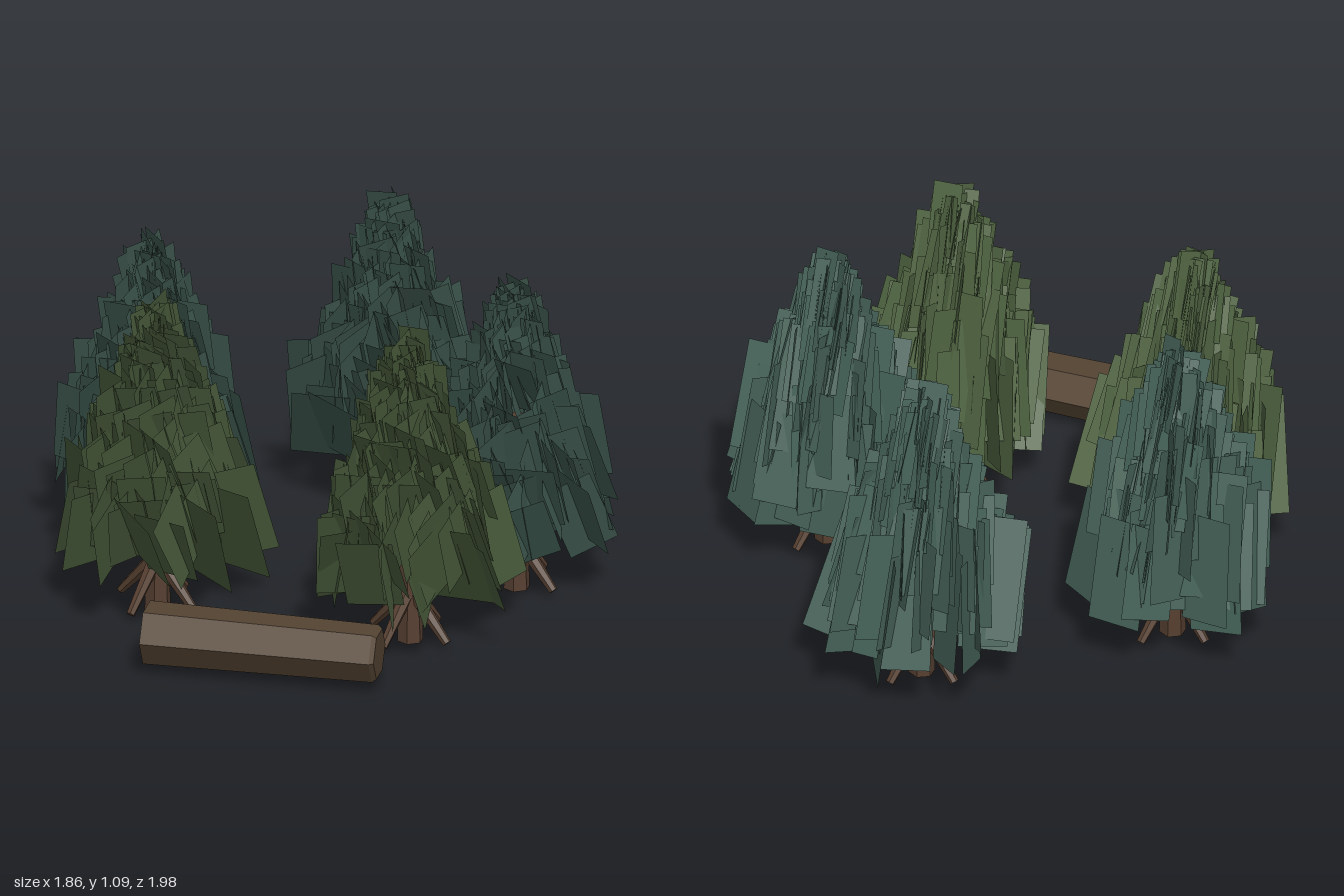
import * as THREE from 'three';
import { mergeGeometries } from 'three/addons/utils/BufferGeometryUtils.js';

const flat = (name, color, side = THREE.FrontSide) => {
  const m = new THREE.MeshStandardMaterial({ color, side, flatShading: true });
  m.name = name;
  return m;
};

// Small seeded generator returning 0..1
function seeded(seed) {
  let s = seed;
  return () => {
    s = (s * 16807) % 2147483647;
    return s / 2147483647;
  };
}

const CARDS = 210;

// Cone-shaped crown made of randomly turned rectangular cards that lean
// towards +z, more so at the front, with their lower ends flared sideways
function crownGeometry(rand) {
  const cards = [];
  const spread = (amount) => (rand() - 0.5) * amount;
  for (let i = 0; i < CARDS; i++) {
    const t = i / (CARDS - 1); // 0 bottom, 1 top
    const low = 1 - t;
    const angle = i * 2.39996 + rand() * 0.4;
    const c = Math.cos(angle), s = Math.sin(angle);
    const radius = THREE.MathUtils.lerp(0.285, 0.025, t) * (0.7 + 0.3 * rand());
    const size = 0.85 + 0.3 * rand();
    const card = new THREE.PlaneGeometry(
      THREE.MathUtils.lerp(0.18, 0.09, t) * size,
      (THREE.MathUtils.lerp(0.37, 0.19, t) - 0.06 * low * Math.max(0, s)) * size
    );
    card.rotateY(rand() * Math.PI * 2);
    card.rotateZ(0.16 * c * low + spread(0.16));
    card.rotateX(0.43 + 0.17 * s * low + spread(0.2));
    card.translate(
      c * radius,
      THREE.MathUtils.lerp(0.32, 0.975, t) - 0.03 * low * s + spread(0.04),
      s * radius
    );
    cards.push(card);
  }
  return mergeGeometries(cards);
}

// Tapered limb between two points
function limb(a, b, ra, rb, material, name) {
  const dir = new THREE.Vector3().subVectors(b, a);
  const mesh = new THREE.Mesh(new THREE.CylinderGeometry(rb, ra, dir.length(), 6), material);
  mesh.position.copy(a).add(b).multiplyScalar(0.5);
  mesh.quaternion.setFromUnitVectors(new THREE.Vector3(0, 1, 0), dir.normalize());
  mesh.name = name;
  return mesh;
}

function makeTree(x, z, foliage, bark, seed) {
  const tree = new THREE.Group();
  const rand = seeded(seed);
  for (let i = 0; i < 20; i++) rand();

  tree.add(limb(new THREE.Vector3(0, 0.005, 0), new THREE.Vector3(0, 0.6, 0), 0.043, 0.025, bark, 'trunk'));

  // Splayed roots
  for (let i = 0; i < 4; i++) {
    const a = (i / 4) * Math.PI * 2 + 0.4;
    const c = Math.cos(a), s = Math.sin(a);
    tree.add(limb(
      new THREE.Vector3(c * 0.145, 0.028, s * 0.145),
      new THREE.Vector3(c * 0.015, 0.17, s * 0.015),
      0.014, 0.024, bark, 'root'
    ));
  }

  const crown = new THREE.Mesh(crownGeometry(rand), foliage);
  crown.name = 'crown';
  tree.add(crown);
  tree.position.set(x, 0, z);
  return tree;
}

export function createModel() {
  const model = new THREE.Group();
  model.name = 'pineGrove';

  const teal = flat('blueGreenNeedles', 0x435f55, THREE.DoubleSide);
  const olive = flat('oliveNeedles', 0x4e6240, THREE.DoubleSide);
  const bark = flat('bark', 0x563f30);
  const logWood = flat('logWood', 0x554433);

  // Three blue-green trees behind, two olive trees in front
  [
    ['backTree', 0.04, -0.61, teal, 11],
    ['rightTree', -0.62, -0.11, teal, 271],
    ['leftTree', 0.59, -0.01, teal, 3571],
    ['frontRightTree', -0.48, 0.41, olive, 48611],
    ['frontLeftTree', 0.36, 0.48, olive, 611953],
  ].forEach(([name, x, z, foliage, seed]) => {
    const tree = makeTree(x, z, foliage, bark, seed);
    tree.name = name;
    model.add(tree);
  });

  // Fallen six-sided log with one bevelled end
  const log = new THREE.Group();
  log.name = 'log';
  const body = new THREE.Mesh(new THREE.CylinderGeometry(0.093, 0.102, 0.745, 6), logWood);
  body.name = 'logBody';
  const end = new THREE.Mesh(new THREE.CylinderGeometry(0.082, 0.093, 0.014, 6), logWood);
  end.name = 'logEnd';
  end.position.y = 0.3795;
  log.add(body, end);
  log.rotation.z = -Math.PI / 2;
  log.position.set(-0.0275, 0.128, 0.897);
  model.add(log);

  return model;
}
